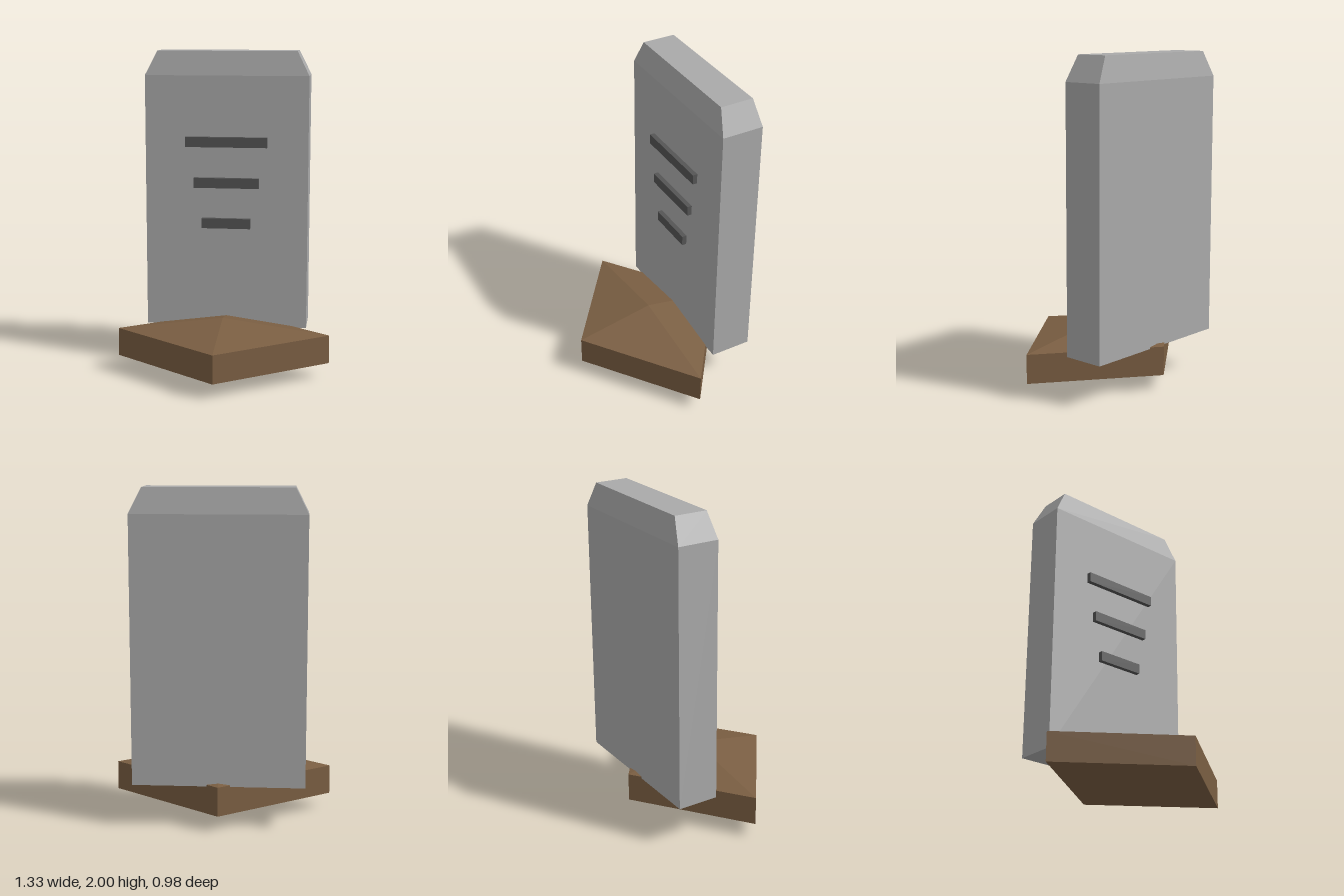
import * as THREE from 'three';

const material = (name, color) => {
  const m = new THREE.MeshStandardMaterial({ color, flatShading: true });
  m.name = name;
  return m;
};

export function createModel() {
  const group = new THREE.Group();
  const stone = material('grey stone', 0xaaaaaa);
  const dark = material('dark grey engraving', 0x555555);
  const earth = material('brown earth', 0x7a5e42);

  const add = (name, geometry, mat) => {
    const mesh = new THREE.Mesh(geometry, mat);
    mesh.name = name;
    group.add(mesh);
    return mesh;
  };

  // Diamond-shaped earth mound with shallow points above and below
  const profile = [[0, 0], [1, 0.093], [1, 0.27], [0, 0.36]].map(([r, y]) => new THREE.Vector2(r, y));
  const mound = new THREE.LatheGeometry(profile, 4).scale(0.663, 1, 0.488);
  add('mound', mound, earth);

  // Upright slab: straight sides up to the shoulder, then a tapered top
  const slab = new THREE.BoxGeometry(1.02, 2, 0.256, 1, 2, 1).toNonIndexed();
  const p = slab.attributes.position;
  for (let i = 0; i < p.count; i++) {
    const level = Math.round(p.getY(i)) + 1;
    p.setY(i, [0.26, 1.85, 2][level]);
    if (level === 2) {
      p.setX(i, Math.sign(p.getX(i)) * 0.435);
      p.setZ(i, Math.sign(p.getZ(i)) * 0.102);
    }
  }
  slab.computeVertexNormals();
  add('slab', slab, stone).position.z = -0.309;

  // Three raised bars, shorter towards the bottom
  [0.512, 0.41, 0.305].forEach((width, i) => {
    const bar = add('inscriptionBar' + (i + 1), new THREE.BoxGeometry(width, 0.063, 0.05), dark);
    bar.position.set(0, 1.44 - i * 0.256, -0.177);
  });

  return group;
}
